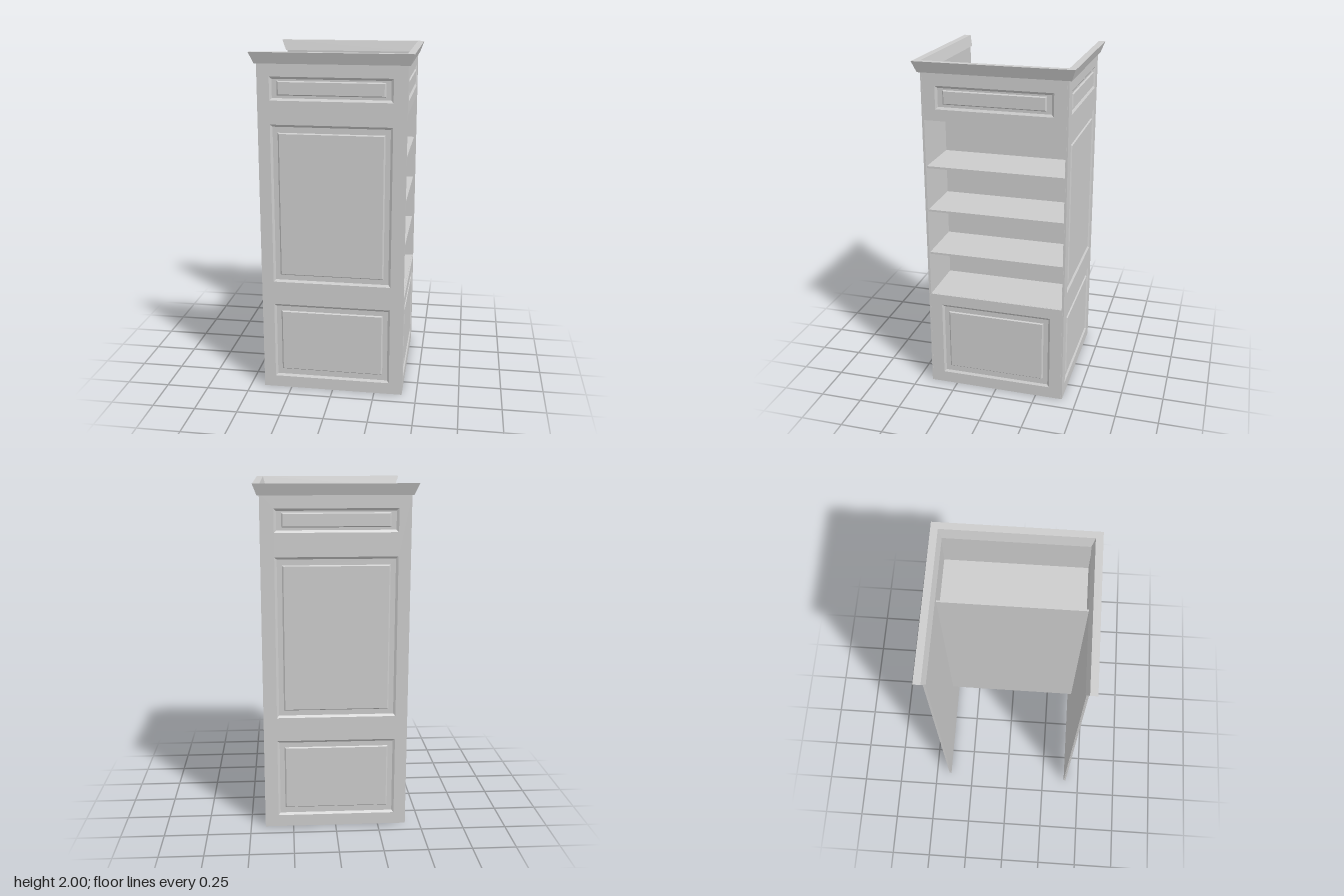
import * as THREE from 'three';

const T = 0.013;      // wall thickness
const RECESS = 0.009; // depth of the moulded frames
const OUT = 0.413;    // outer face of the carcass

const material = new THREE.MeshStandardMaterial({ color: 0xcccccc, flatShading: true, side: THREE.DoubleSide });

function add(parent, geometry, name, x = 0, y = 0, z = 0) {
  const mesh = new THREE.Mesh(geometry, material);
  mesh.name = name;
  mesh.position.set(x, y, z);
  parent.add(mesh);
  return mesh;
}

// Skins consecutive loops of four corners; optionally caps the last loop
function loft(loops, closed, capEnds) {
  const pos = loops.flat(2);
  const index = [];
  const n = loops[0].length;
  for (let i = 0; i < loops.length - 1; i++) {
    for (let j = 0; j < n; j++) {
      const a = i * n + j, b = i * n + (j + 1) % n;
      index.push(a, b, b + n, a, b + n, a + n);
    }
  }
  const e = (loops.length - 1) * n;
  if (capEnds) index.push(e, e + 1, e + 2, e, e + 2, e + 3);
  if (closed) index.push(0, 2, 1, 0, 3, 2);
  const g = new THREE.BufferGeometry();
  g.setAttribute('position', new THREE.Float32BufferAttribute(pos, 3));
  g.setIndex(index);
  const flat = g.toNonIndexed();
  flat.computeVertexNormals();
  return flat;
}

// Counter-clockwise rectangle in the wall plane
const rect = (hw, y0, y1, z) => [[-hw, y0, z], [hw, y0, z], [hw, y1, z], [-hw, y1, z]];

function outline(Type, hw, y0, y1, cx = 0) {
  const p = new Type();
  p.moveTo(cx - hw, y0);
  p.lineTo(cx + hw, y0);
  p.lineTo(cx + hw, y1);
  p.lineTo(cx - hw, y1);
  p.closePath();
  return p;
}

// Wall with sunken moulded frames and raised fields; its face lies at z = 0
function panelledWall(name, halfWidth, y0, y1, panels, cx = 0) {
  const wall = new THREE.Group();
  wall.name = name;
  const shape = outline(THREE.Shape, halfWidth, y0, y1);
  for (const p of panels) shape.holes.push(outline(THREE.Path, p.hw, p.y0, p.y1, cx));
  const frame = new THREE.ExtrudeGeometry(shape, { depth: RECESS, bevelEnabled: false });
  add(wall, frame, 'wallFrame', 0, 0, -RECESS);
  const backing = new THREE.BoxGeometry(halfWidth * 2, y1 - y0, T - RECESS - 0.0005);
  add(wall, backing, 'wallBacking', 0, (y0 + y1) / 2, -(T + RECESS + 0.0005) / 2);
  for (const p of panels) {
    const [i0, i1] = p.field;
    const fw = p.hw - 0.049;
    add(wall, loft([
      rect(p.hw, p.y0, p.y1, 0),
      rect(p.hw - 0.013, p.y0 + 0.013, p.y1 - 0.013, -RECESS),
      rect(fw + 0.008, i0 - 0.006, i1 + 0.006, -RECESS),
      rect(fw, i0, i1, -0.002),
    ], false, true), 'raisedPanel', cx);
  }
  return wall;
}

export function createModel() {
  const model = new THREE.Group();
  model.name = 'columnBookcase';

  // Front and back walls
  const tall = [
    { hw: 0.342, y0: 0.07, y1: 0.535, field: [0.123, 0.487] },
    { hw: 0.342, y0: 0.675, y1: 1.602, field: [0.724, 1.55] },
    { hw: 0.342, y0: 1.735, y1: 1.866, field: [1.769, 1.837] },
  ];
  const front = panelledWall('frontWall', 0.415, 0, 1.95, tall, -0.004);
  front.position.z = OUT;
  const back = panelledWall('backWall', 0.415, 0, 1.95, tall, 0.004);
  back.rotation.y = Math.PI;
  back.position.z = -OUT;
  model.add(front, back);

  // Side wall, in two parts around the shelf opening
  const inner = OUT - T;
  const low = { hw: 0.333, y0: 0.07, y1: 0.535, field: [0.123, 0.487] };
  const high = { hw: 0.333, y0: 1.735, y1: 1.866, field: [1.769, 1.837] };
  const lower = panelledWall('lowerSideWall', inner, 0, 0.6, [low]);
  const upper = panelledWall('upperSideWall', inner, 1.67, 1.95, [high]);
  for (const side of [lower, upper]) {
    side.rotation.y = Math.PI / 2;
    side.position.x = 0.415;
    model.add(side);
  }

  // Shelf niche: floor, three shelves, ceiling and back board
  const x0 = 0.07, x1 = 0.402;
  const boards = [['nicheFloor', 0.594], ['shelf', 0.862], ['shelf', 1.13], ['shelf', 1.393], ['nicheCeiling', 1.676]];
  for (const [name, y] of boards) {
    add(model, new THREE.BoxGeometry(x1 - x0, 0.012, inner * 2), name, (x0 + x1) / 2, y, 0);
  }
  add(model, new THREE.BoxGeometry(0.01, 1.35, inner * 2), 'nicheBack', x0 + 0.005, 1.16, 0);

  // Flared crown moulding: one slanted section swept round three sides
  const section = [[0.427, 1.937, -0.424], [0.45, 2, -0.45], [0.41, 2, -0.45], [0.393, 1.937, -0.424]];
  const crown = [
    section.map(([o, y, end]) => [end, y, o]),
    section.map(([o, y]) => [o, y, o]),
    section.map(([o, y]) => [o, y, -o]),
    section.map(([o, y, end]) => [end, y, -o]),
  ].map((loop) => loop.reverse());
  add(model, loft(crown, true, true), 'crownMoulding');

  return model;
}
